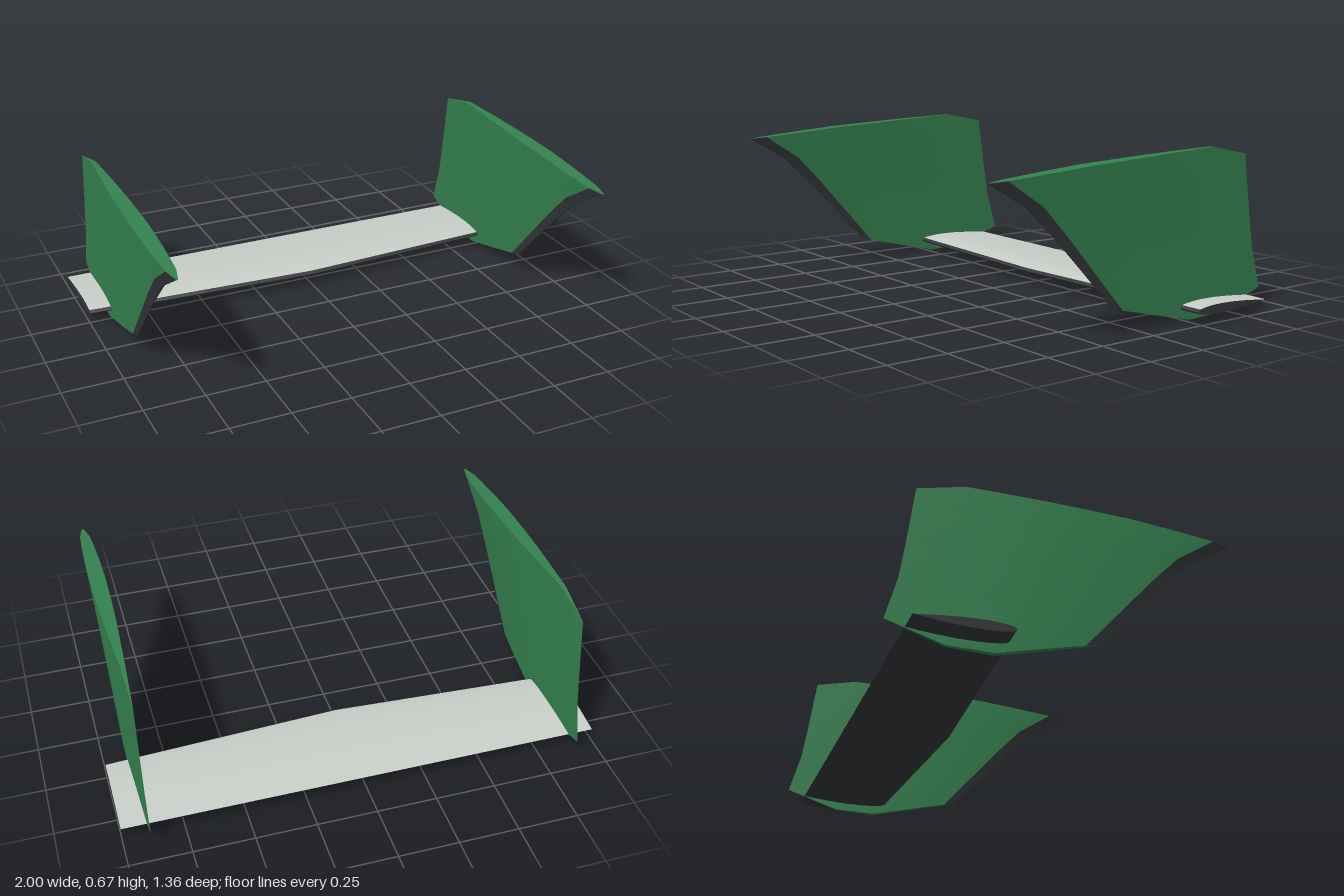
import * as THREE from 'three';

const mat = (name, color) => {
  const m = new THREE.MeshStandardMaterial({ color });
  m.name = name;
  return m;
};

// Skin a grid of points: rows[i][j] = [x, y, z]; front side is (i direction) x (j direction)
function skin(name, rows, material, flip = false) {
  const n = rows[0].length, index = [];
  for (let i = 0; i < rows.length - 1; i++) {
    for (let j = 0; j < n - 1; j++) {
      const a = i * n + j, b = a + n, c = b + 1, d = a + 1;
      if (flip) index.push(a, d, b, b, d, c);
      else index.push(a, b, d, b, c, d);
    }
  }
  const g = new THREE.BufferGeometry();
  g.setAttribute('position', new THREE.Float32BufferAttribute(rows.flat(2), 3));
  g.setIndex(index);
  g.computeVertexNormals();
  const mesh = new THREE.Mesh(g, material);
  mesh.name = name;
  return mesh;
}

// Piecewise-linear lookup in [[t, value], ...]
function lookup(table, t) {
  for (let i = 1; i < table.length; i++) {
    const [t0, a] = table[i - 1], [t1, b] = table[i];
    if (t <= t1) return a + (b - a) * (t - t0) / (t1 - t0);
  }
  return table[table.length - 1][1];
}
const lerp = THREE.MathUtils.lerp;

// Fin outline as [z, y], bottom to top
const LEAD = [[0.11, 0.10], [0.27, 0.27], [0.394, 0.40], [0.515, 0.515], [0.68, 0.615]];
const TRAIL = [[-0.68, 0.08], [-0.632, 0.25], [-0.61, 0.39], [-0.592, 0.52], [-0.577, 0.63]];
// Bulge of the lower and upper edges along the chord
const LOWER_EDGE = [[0, 0], [0.49, -0.086], [0.716, -0.077], [1, 0]];
const UPPER_EDGE = [[0, 0], [0.34, 0.025], [0.668, 0.038], [0.85, 0.042], [1, 0]];
// Half thickness along the chord
const FIN_SHAPE = [[0, 0.12], [0.055, 0.62], [0.12, 0.78], [0.22, 0.93], [0.34, 1], [0.49, 0.92],
  [0.6, 0.78], [0.716, 0.56], [0.85, 0.3], [1, 0]];
const STRIP = [0, 0.02, 0.055];
const BODY = [0.055, 0.12, 0.22, 0.34, 0.49, 0.6, 0.716, 0.85, 1];

function finPoint(row, c, side) {
  const v = row / 4;
  const z = lerp(LEAD[row][0], TRAIL[row][0], c);
  const y = lerp(LEAD[row][1], TRAIL[row][1], c)
    + lookup(LOWER_EDGE, c) * (1 - v) + lookup(UPPER_EDGE, c) * v;
  return [side * lookup(FIN_SHAPE, c) * lerp(0.012, 0.033, v), y, z];
}

function buildFin(name, green, dark) {
  const fin = new THREE.Group();
  fin.name = name;
  const rows = [0, 1, 2, 3, 4];
  for (const s of [-1, 1]) {
    fin.add(skin('finSide', rows.map(r => BODY.map(c => finPoint(r, c, s))), green, s > 0));
    fin.add(skin('finLeadingStrip', rows.map(r => STRIP.map(c => finPoint(r, c, s))), dark, s > 0));
  }
  fin.add(skin('finLeadingEdge', rows.map(r => [finPoint(r, 0, 1), finPoint(r, 0, -1)]), dark));
  // Tip and root caps
  const chord = [0, 0.02, ...BODY];
  fin.add(skin('finTip', [-1, 1].map(s => chord.map(c => finPoint(4, c, s))), green));
  fin.add(skin('finRoot', [-1, 1].map(s => chord.map(c => finPoint(0, c, s))), green, true));
  return fin;
}

// Tailplane section: heights above and below the chord line
const ABOVE = [[0, 0], [0.012, 0.006], [0.03, 0.01], [0.08, 0.014], [0.2, 0.0185], [0.32, 0.0195],
  [0.5, 0.0175], [0.7, 0.012], [1, 0]];
const BELOW = [[0, 0], [0.012, -0.005], [0.03, -0.009], [0.08, -0.013], [0.2, -0.0175], [0.32, -0.0185],
  [0.5, -0.0175], [0.7, -0.012], [1, 0]];
const SPAN = [-1, -0.5, 0, 0.5, 1];

function planePoint(x, c, table) {
  const k = 1 - Math.abs(x);
  return [x, 0.058 + lookup(table, c) * (1 + 0.08 * k), lerp(lerp(-0.23, -0.175, k), -0.605, c)];
}

function buildTailplane(light, dark) {
  const plane = new THREE.Group();
  plane.name = 'tailplane';
  const cs = ABOVE.map(p => p[0]);
  const nose = cs.slice(0, 3), top = cs.slice(2);
  plane.add(skin('upperSkin', SPAN.map(x => top.map(c => planePoint(x, c, ABOVE))), light));
  plane.add(skin('noseStrip', SPAN.map(x => nose.map(c => planePoint(x, c, ABOVE))), dark));
  plane.add(skin('underside', SPAN.map(x => cs.map(c => planePoint(x, c, BELOW))), dark, true));
  for (const x of [-1, 1]) {
    plane.add(skin('endCap', [BELOW, ABOVE].map(t => cs.map(c => planePoint(x, c, t))), dark, x > 0));
  }
  return plane;
}

export function createModel() {
  const green = mat('finGreen', 0x34824f);
  const dark = mat('charcoal', 0x343639);
  const light = mat('paleGrey', 0xc9cec9);
  const model = new THREE.Group();
  model.name = 'twinFinTail';
  model.add(buildTailplane(light, dark));
  for (const s of [-1, 1]) {
    const fin = buildFin(s > 0 ? 'leftFin' : 'rightFin', green, dark);
    fin.position.x = s * 0.895;
    model.add(fin);
  }
  return model;
}
